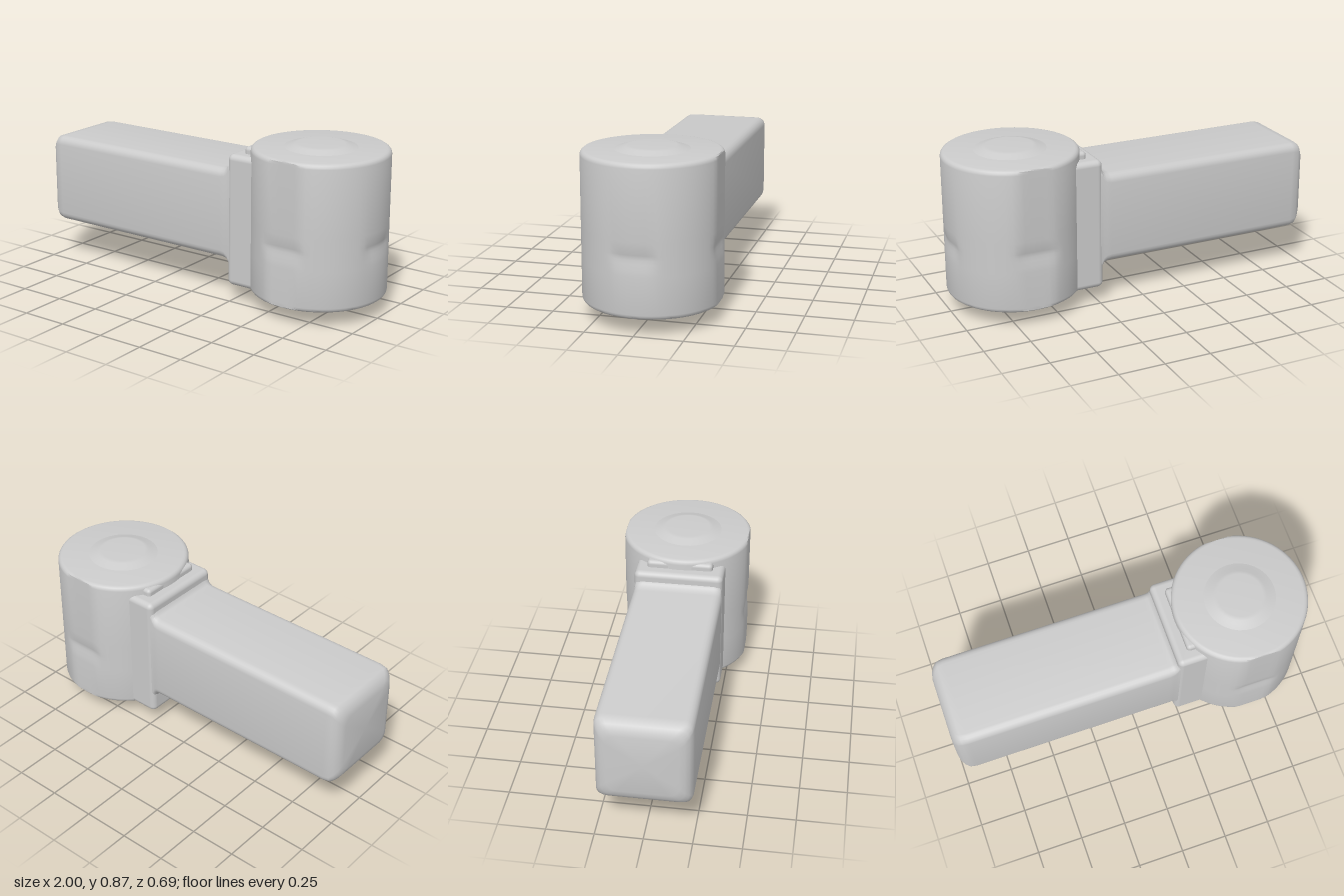
import * as THREE from 'three';
import { toCreasedNormals } from 'three/addons/utils/BufferGeometryUtils.js';
import { RoundedBoxGeometry } from 'three/addons/geometries/RoundedBoxGeometry.js';

const material = new THREE.MeshStandardMaterial({ color: 0xcccccc });
const HEAD_X = 0.642;

function addMesh(group, name, geometry, x = 0, y = 0, z = 0) {
  const mesh = new THREE.Mesh(geometry, material);
  mesh.name = name;
  mesh.position.set(x, y, z);
  group.add(mesh);
}

function lathe(profile, segments) {
  return new THREE.LatheGeometry(profile.map(([r, y]) => new THREE.Vector2(r, y)), segments);
}

// Rounded-rectangle cross-sections [x, halfHeight, halfWidth, cornerRadius] lofted along x.
function loftAlongX(sections, steps = 5) {
  const positions = [], index = [];
  const count = 4 * (steps + 1);
  for (const [x, h, w, r] of sections) {
    for (let corner = 0; corner < 4; corner++) {
      const sy = corner === 0 || corner === 3 ? 1 : -1;
      const sz = corner < 2 ? 1 : -1;
      for (let s = 0; s <= steps; s++) {
        const a = (corner + s / steps) * Math.PI / 2;
        positions.push(x, sy * (h - r) + r * Math.cos(a), sz * (w - r) + r * Math.sin(a));
      }
    }
  }
  for (let i = 0; i < sections.length - 1; i++) {
    for (let j = 0; j < count; j++) {
      const a = i * count + j, b = i * count + (j + 1) % count;
      index.push(a, b, b + count, a, b + count, a + count);
    }
  }
  // End caps
  const first = positions.length / 3, last = first + 1;
  positions.push(sections[0][0], 0, 0, sections[sections.length - 1][0], 0, 0);
  const base = (sections.length - 1) * count;
  for (let j = 0; j < count; j++) {
    const k = (j + 1) % count;
    index.push(first, k, j, last, base + j, base + k);
  }
  const geometry = new THREE.BufferGeometry();
  geometry.setAttribute('position', new THREE.Float32BufferAttribute(positions, 3));
  geometry.setIndex(index);
  return toCreasedNormals(geometry, 0.7);
}

// Drum with rounded rims, flattened front and back, and three shallow side notches
function makeDrum() {
  const R = 0.358, rim = 0.025, bottom = 0.083, top = 0.853;
  const profile = [[0, bottom], [R - rim, bottom]];
  for (let i = 1; i <= 4; i++) {
    const a = i / 4 * Math.PI / 2;
    profile.push([R - rim + rim * Math.sin(a), bottom + rim - rim * Math.cos(a)]);
  }
  for (const y of [0.3, 0.33, 0.36, 0.38, 0.395, 0.405, 0.43, 0.47]) profile.push([R, y]);
  for (let i = 0; i <= 4; i++) {
    const a = i / 4 * Math.PI / 2;
    profile.push([R - rim + rim * Math.cos(a), top - rim + rim * Math.sin(a)]);
  }
  profile.push([0, top]);
  const geometry = lathe(profile, 72);
  const p = geometry.attributes.position;
  for (let i = 0; i < p.count; i++) {
    let x = p.getX(i), z = THREE.MathUtils.clamp(p.getZ(i), -0.345, 0.345);
    const y = p.getY(i);
    const dy = y > 0.39 ? (y - 0.39) / 0.06 : (0.39 - y) / 0.08;
    const depth = 0.012 * Math.max(0, 1 - dy);
    const fade = (t) => 1 - THREE.MathUtils.smoothstep(Math.abs(t), 0.08, 0.125);
    if (Math.abs(z) > 0.3) z -= Math.sign(z) * depth * fade(x);
    if (x > 0.3) x -= depth * fade(z);
    p.setXYZ(i, x, y, z);
  }
  return toCreasedNormals(geometry, 0.6);
}

export function createModel() {
  const group = new THREE.Group();
  group.name = 'drumHeadWithArm';

  // Square arm: softened free end, flaring into the collar
  addMesh(group, 'arm', loftAlongX([
    [-1, 0.17, 0.18, 0.05],
    [-0.992, 0.2, 0.208, 0.05],
    [-0.975, 0.225, 0.228, 0.05],
    [-0.955, 0.24, 0.24, 0.045],
    [-0.92, 0.245, 0.245, 0.045],
    [0.18, 0.245, 0.245, 0.045],
    [0.205, 0.25, 0.243, 0.045],
    [0.22, 0.262, 0.24, 0.045],
    [0.23, 0.285, 0.238, 0.045],
    [0.35, 0.285, 0.235, 0.045],
  ]), 0, 0.47, 0);

  // Collar block between arm and drum
  addMesh(group, 'collar', new RoundedBoxGeometry(0.4, 0.712, 0.485, 4, 0.03), 0.425, 0.442, 0);

  // Low step where the collar meets the drum top
  addMesh(group, 'collarStep', new RoundedBoxGeometry(0.12, 0.1, 0.36, 3, 0.02), 0.35, 0.785, 0);

  addMesh(group, 'drum', makeDrum(), HEAD_X, 0, 0);

  // Shallow raised cap on top
  addMesh(group, 'topCap', lathe([
    [0.2, 0.85], [0.185, 0.854], [0.16, 0.861], [0.14, 0.868], [0.12, 0.873], [0, 0.873],
  ], 32), HEAD_X, 0, 0);

  // Tapered stud underneath
  addMesh(group, 'bottomStud', toCreasedNormals(lathe([
    [0, 0], [0.05, 0], [0.062, 0.005], [0.067, 0.018], [0.075, 0.055], [0.083, 0.07], [0.105, 0.085],
  ], 24), 0.8), HEAD_X, 0, 0);

  return group;
}
